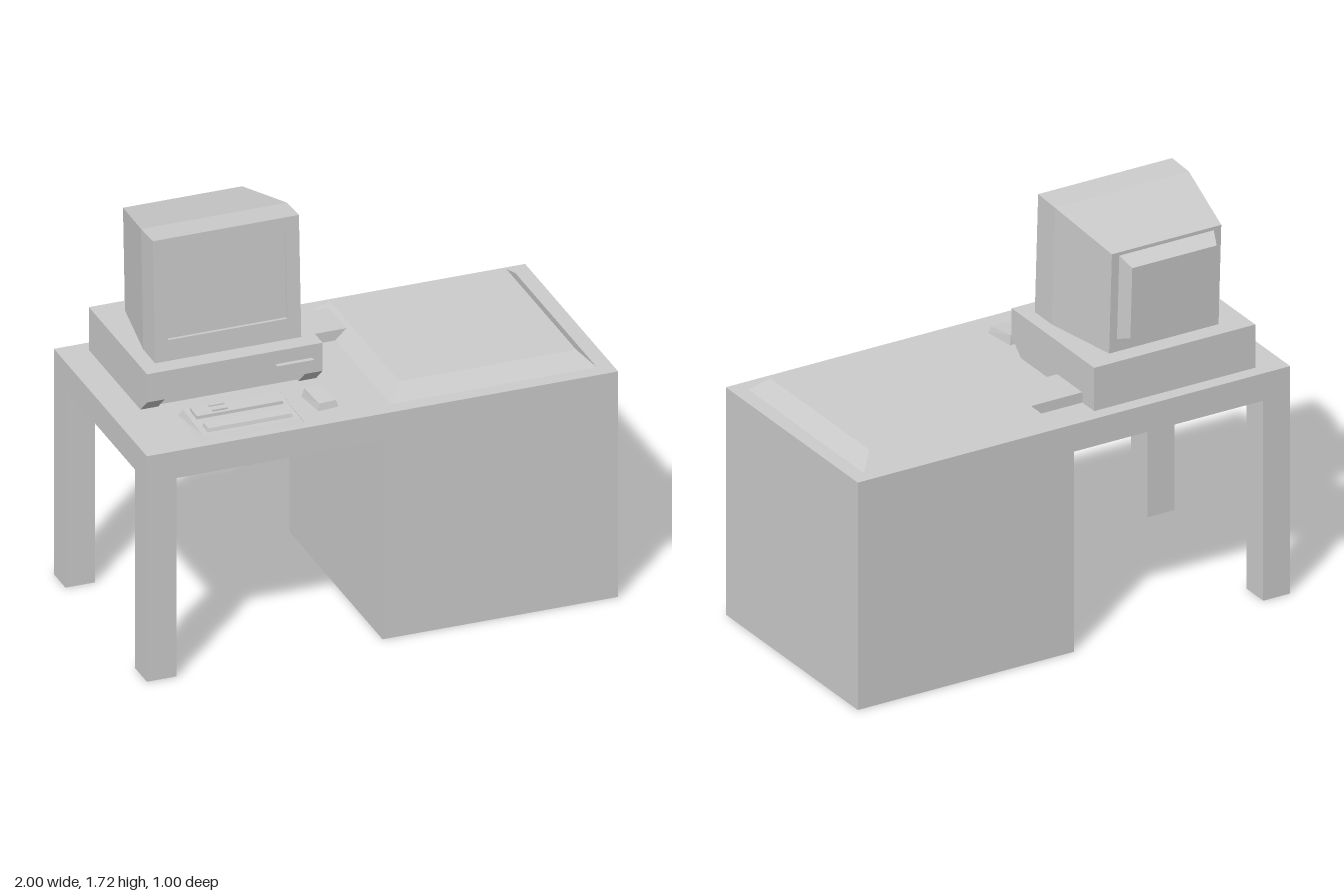
import * as THREE from 'three';

const mat = new THREE.MeshStandardMaterial({ color: 0xcccccc, flatShading: true });

function add(parent, name, geo) {
  const m = new THREE.Mesh(geo, mat);
  m.name = name;
  parent.add(m);
  return m;
}

// Box given by its minimum and maximum along each axis
function box(x0, x1, y0, y1, z0, z1) {
  return new THREE.BoxGeometry(x1 - x0, y1 - y0, z1 - z0)
    .translate((x0 + x1) / 2, (y0 + y1) / 2, (z0 + z1) / 2);
}

// Moves every corner of a box by a rule
function reshape(geo, rule) {
  const p = geo.attributes.position;
  const v = new THREE.Vector3();
  for (let i = 0; i < p.count; i++) {
    rule(v.fromBufferAttribute(p, i));
    p.setXYZ(i, v.x, v.y, v.z);
  }
  geo.computeVertexNormals();
  return geo;
}

// Box whose top is inset on all sides; the top may rise towards the back
function bevelled(x0, x1, y0, y1, z0, z1, inset, rise = 0) {
  return reshape(box(x0, x1, y0, y1, z0, z1), v => {
    if (v.y < (y0 + y1) / 2) return;
    const back = v.z < (z0 + z1) / 2;
    v.x += v.x < (x0 + x1) / 2 ? inset : -inset;
    v.z += back ? inset : -inset;
    if (back) v.y += rise;
  });
}

// Solid between two upright rectangles [z, halfWidth, bottom, top]
function tapered(front, back) {
  return reshape(new THREE.BoxGeometry(2, 2, 2), v => {
    const [z, w, y0, y1] = v.z > 0 ? front : back;
    v.set(v.x * w, v.y > 0 ? y1 : y0, z);
  });
}

// Side profile of [z, y] points extruded from x0 to x1
function prism(points, x0, x1) {
  const shape = new THREE.Shape(points.map(([z, y]) => new THREE.Vector2(-z, y)));
  return new THREE.ExtrudeGeometry(shape, { depth: x1 - x0, bevelEnabled: false })
    .rotateY(Math.PI / 2).translate(x0, 0, 0);
}

function makeDesk() {
  const g = new THREE.Group();
  g.name = 'desk';
  add(g, 'deskTop', box(-1, 1, 0.88, 1, -0.5, 0.5));
  add(g, 'cabinet', box(0, 1, 0, 0.88, -0.5, 0.5));
  add(g, 'frontLeg', box(-1, -0.875, 0, 0.88, 0.375, 0.5));
  add(g, 'backLeg', box(-1, -0.875, 0, 0.88, -0.5, -0.375));
  add(g, 'raisedPanel', bevelled(0.06, 0.935, 1, 1.06, -0.44, 0.435, 0.063));
  add(g, 'cableDuct', box(-0.14, 0.11, 1, 1.045, -0.35, -0.16));
  return g;
}

function makeComputer() {
  const g = new THREE.Group();
  g.name = 'computer';
  add(g, 'caseBody', box(-0.875, -0.13, 1.065, 1.19, -0.44, 0.185));
  // Lower case: undercut ends either side of a keyboard recess
  const foot = [[0.185, 1.065], [-0.44, 1.065], [-0.44, 1], [0.115, 1]];
  add(g, 'caseFootRight', prism(foot, -0.875, -0.8));
  add(g, 'caseFootLeft', prism(foot, -0.205, -0.13));
  add(g, 'keyboardRecess', box(-0.8, -0.205, 1, 1.065, -0.44, 0.1));
  add(g, 'diskSlot', box(-0.33, -0.175, 1.12, 1.132, 0.18, 0.205));
  return g;
}

function makeMonitor() {
  const g = new THREE.Group();
  g.name = 'monitor';
  // Bezel with a rectangular opening, in front of the recessed screen
  const frame = new THREE.Shape([[-0.31, 0], [0.31, 0], [0.31, 0.53], [-0.31, 0.53]]
    .map(p => new THREE.Vector2(...p)));
  frame.holes.push(new THREE.Path([[-0.253, 0.09], [-0.253, 0.47], [0.253, 0.47], [0.253, 0.09]]
    .map(p => new THREE.Vector2(...p))));
  add(g, 'bezel', new THREE.ExtrudeGeometry(frame, { depth: 0.015, bevelEnabled: false })
    .translate(0, 0, -0.015));
  add(g, 'screenHousing', tapered([-0.015, 0.31, 0, 0.53], [-0.127, 0.31, 0, 0.53]));
  add(g, 'rearHousing', tapered([-0.127, 0.31, 0, 0.53], [-0.469, 0.253, 0, 0.468]));
  add(g, 'tubeCover', tapered([-0.465, 0.22, 0.077, 0.455], [-0.531, 0.195, 0.105, 0.42]));
  g.position.set(-0.5, 1.19, 0.108);
  g.rotation.x = -0.047;
  return g;
}

function makeKeyboard() {
  const g = new THREE.Group();
  g.name = 'keyboard';
  add(g, 'keyboardBase', bevelled(-0.755, -0.315, 1, 1.02, 0.215, 0.465, 0.014, 0.012));
  add(g, 'mainKeys', bevelled(-0.72, -0.35, 1.01, 1.036, 0.375, 0.437, 0.008, 0.004));
  add(g, 'upperKeys', bevelled(-0.72, -0.35, 1.01, 1.04, 0.25, 0.325, 0.002, 0.004));
  for (const z of [0.265, 0.305])
    add(g, 'keyRidge', box(-0.645, -0.58, 1.03, 1.048, z - 0.005, z + 0.005));
  return g;
}

function makeMouse() {
  const g = new THREE.Group();
  g.name = 'mouse';
  add(g, 'mouseBody', bevelled(-0.045, 0.045, 0, 0.028, -0.072, 0.072, 0.008, 0.012));
  g.position.set(-0.19, 1, 0.31);
  g.rotation.y = 0.1;
  return g;
}

export function createModel() {
  const model = new THREE.Group();
  model.name = 'computerDesk';
  model.add(makeDesk(), makeComputer(), makeMonitor(), makeKeyboard(), makeMouse());
  return model;
}
